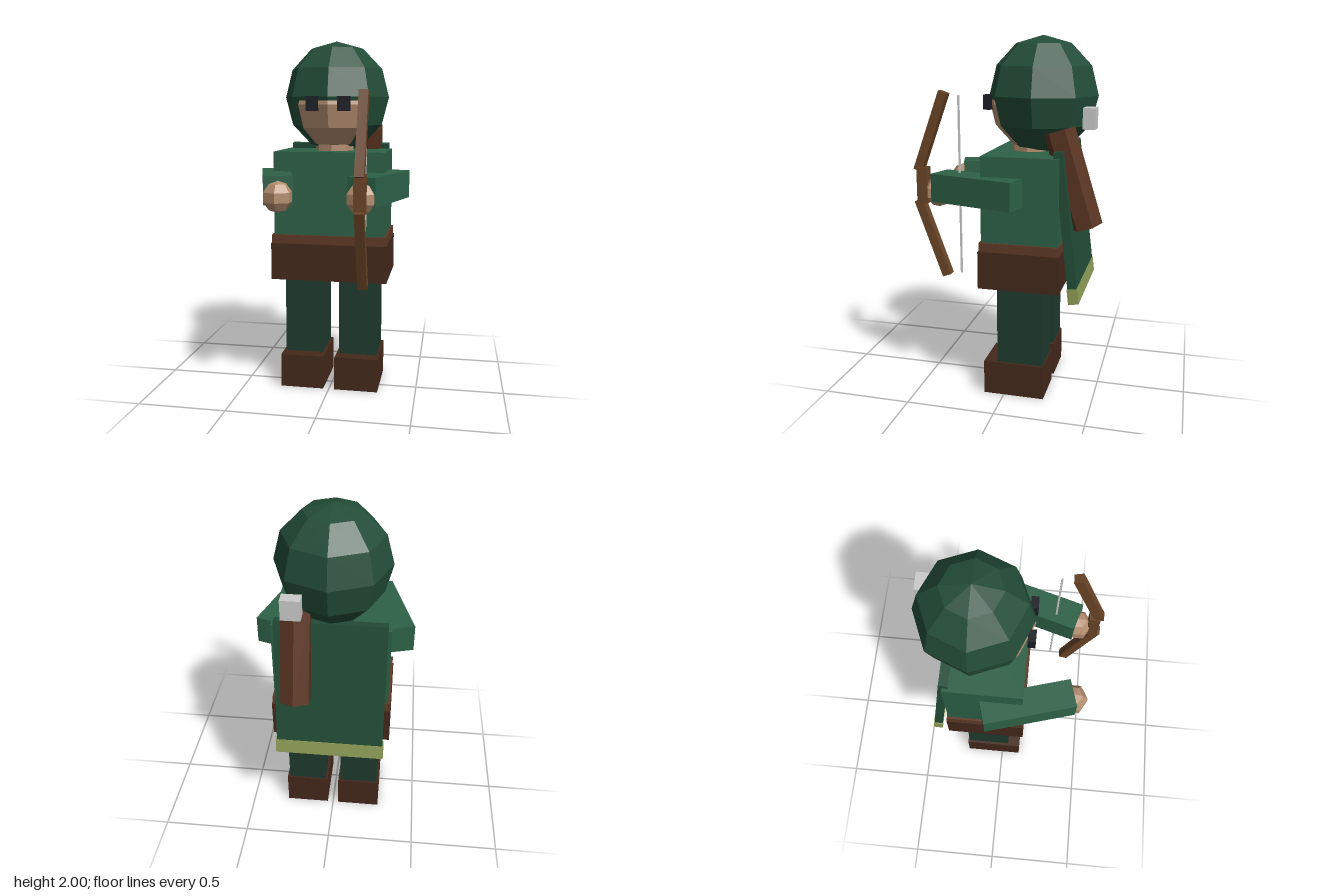
import * as THREE from 'three';

const COLORS = {
  tunic: 0x2d6147, hood: 0x234d38, trousers: 0x1f3b2e, cape: 0x234d38, trim: 0x8f9e58,
  leather: 0x45291b, belt: 0x603a26, skin: 0xb48e70, eye: 0x1c1c26,
  wood: 0x6b4527, quiver: 0x5a3522, grey: 0xcccccc,
};
const materials = {};
for (const key in COLORS) {
  materials[key] = new THREE.MeshStandardMaterial({ color: COLORS[key], flatShading: true });
}

export function createModel() {
  const model = new THREE.Group();
  model.name = 'archer';

  const add = (name, geometry, color, position, parent = model) => {
    const mesh = new THREE.Mesh(geometry, materials[color]);
    mesh.name = name;
    mesh.position.set(...position);
    parent.add(mesh);
    return mesh;
  };
  const box = (name, size, color, position, parent) =>
    add(name, new THREE.BoxGeometry(...size), color, position, parent);

  // Legs, boots, arms, hands and eyes, mirrored
  for (const s of [1, -1]) {
    const side = s > 0 ? 'left' : 'right';
    box(side + 'Boot', [0.25, 0.195, 0.345], 'leather', [s * 0.158, 0.0975, -0.057]);
    box(side + 'Leg', [0.222, 0.48, 0.26], 'trousers', [s * 0.158, 0.43, -0.09]);
    const arm = box(side + 'Arm', [0.156, 0.155, 0.5], 'tunic', [s * 0.29, 1.193, 0.14]);
    arm.rotation.y = -s * 0.284;
    const hand = add(side + 'Hand', new THREE.SphereGeometry(0.085, 6, 5), 'skin', [s * 0.22, 1.16, 0.382]);
    hand.rotation.y = Math.PI / 6;
    box(side + 'Eye', [0.065, 0.08, 0.04], 'eye', [s * 0.088, 1.645, 0.134]);
  }

  // Body
  box('skirt', [0.66, 0.21, 0.45], 'leather', [0, 0.755, -0.093]);
  box('belt', [0.65, 0.055, 0.44], 'belt', [0, 0.8825, -0.093]);
  box('torso', [0.626, 0.475, 0.422], 'tunic', [0, 1.1425, -0.095]);
  add('neck', new THREE.CylinderGeometry(0.11, 0.11, 0.1, 8), 'skin', [0, 1.41, -0.09]);

  // Head: the face pushes out through the front of the hood
  add('hood', new THREE.SphereGeometry(0.305, 8, 6), 'hood', [0, 1.683, -0.155]).scale.y = 1.04;
  add('face', new THREE.SphereGeometry(0.25, 8, 6), 'skin', [0, 1.64, -0.1]).scale.y = 1.03;

  // Cape with a trimmed hem, swung backwards
  const cape = new THREE.Group();
  cape.name = 'cape';
  cape.position.set(0, 1.045, -0.34);
  cape.rotation.x = 0.12;
  model.add(cape);
  box('capeCloth', [0.59, 0.74, 0.05], 'cape', [0, 0, 0], cape);
  box('capeTrim', [0.603, 0.085, 0.057], 'trim', [0, -0.411, 0], cape);

  // Quiver and arrow fletching on the back
  const quiver = add('quiver', new THREE.CylinderGeometry(0.087, 0.087, 0.535, 6), 'quiver', [0.175, 1.255, -0.36]);
  quiver.rotation.x = 0.3;
  box('fletching', [0.1, 0.11, 0.066], 'grey', [0.175, 1.58, -0.443]);

  // Bow: grip, two limbs and string
  const bow = new THREE.Group();
  bow.name = 'bow';
  bow.position.set(0.226, 1.193, 0);
  model.add(bow);
  box('bowGrip', [0.06, 0.2, 0.06], 'wood', [0, 0, 0.47], bow);
  for (const s of [1, -1]) {
    const limb = box(s > 0 ? 'upperLimb' : 'lowerLimb', [0.05, 0.455, 0.05], 'wood', [0, s * 0.298, 0.417], bow);
    limb.rotation.x = -s * 0.35;
  }
  box('bowString', [0.01, 0.99, 0.01], 'grey', [0, 0, 0.258], bow);

  return model;
}
